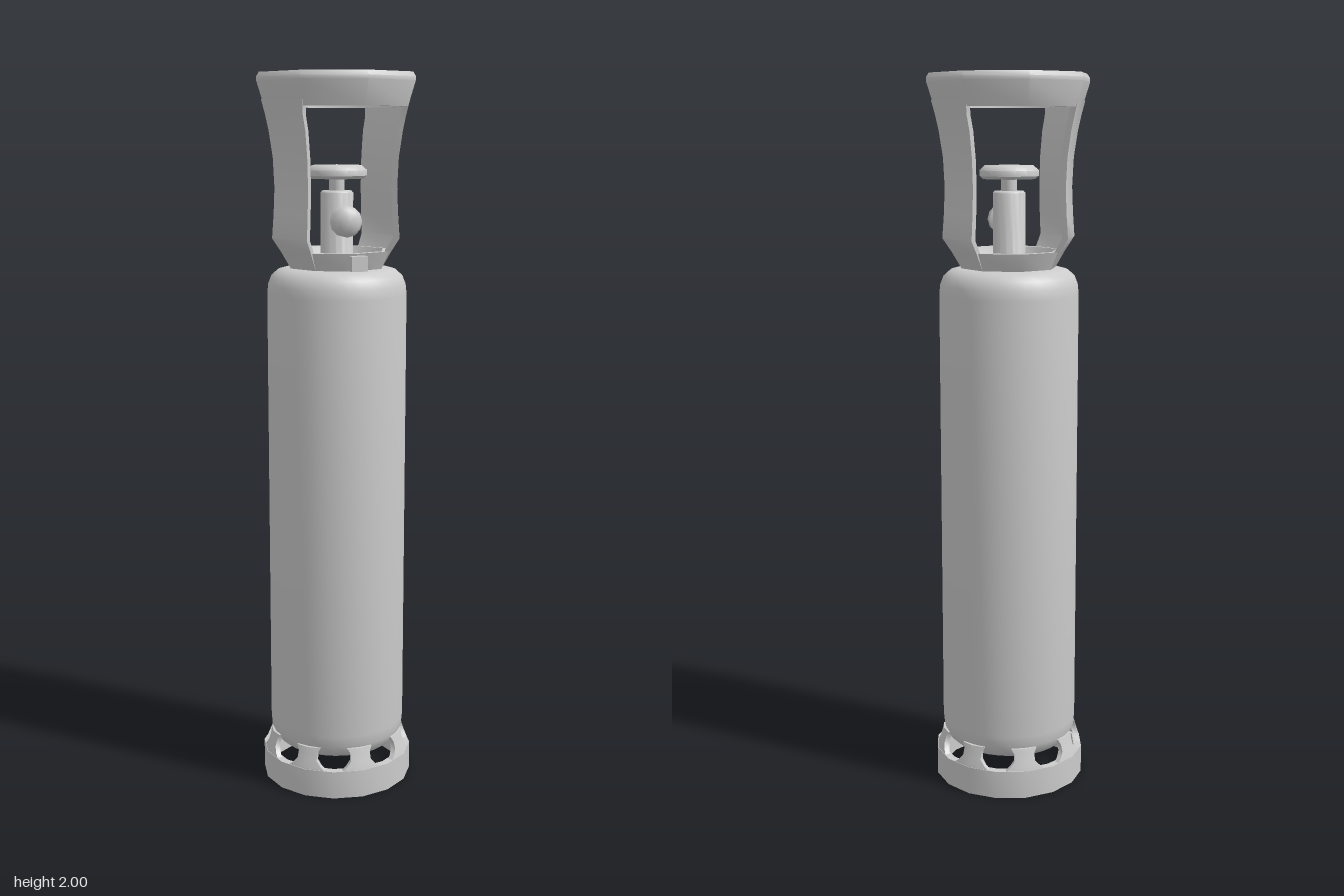
import * as THREE from 'three';
import { toCreasedNormals } from 'three/addons/utils/BufferGeometryUtils.js';

const material = new THREE.MeshStandardMaterial({ color: 0xcccccc });

function part(name, geometry, crease = 0.82) {
  const mesh = new THREE.Mesh(toCreasedNormals(geometry, crease), material);
  mesh.name = name;
  return mesh;
}

// Turned part; the profile runs upwards along its outside
function turned(name, profile, sides, crease) {
  const points = profile.map(([r, y]) => new THREE.Vector2(r, y));
  return part(name, new THREE.LatheGeometry(points, sides), crease);
}

// Thick wall panel centred on +x, cut from a polygonal tube.
// rows: [y, radius, half angle in degrees], from bottom to top
function wallPanel(rows, sides, thickness) {
  const step = Math.PI / sides;
  const position = [], index = [], n = 6;
  for (const [y, r, degrees] of rows) {
    const h = THREE.MathUtils.degToRad(degrees);
    const edge = Math.cos(step) / Math.cos(h - step);
    const ring = (radius, angles) => angles.forEach((a) => {
      const d = radius * (a === 0 ? 1 : edge);
      position.push(d * Math.cos(a), y, d * Math.sin(a));
    });
    ring(r, [-h, 0, h]);
    ring(r - thickness, [h, 0, -h]);
  }
  const quad = (a, b, c, d) => index.push(a, b, c, a, c, d);
  for (let i = 0; i < rows.length - 1; i++) {
    for (let j = 0; j < n; j++) {
      const k = (j + 1) % n;
      quad(i * n + j, (i + 1) * n + j, (i + 1) * n + k, i * n + k);
    }
  }
  const top = (rows.length - 1) * n;
  for (let j = 0; j < 2; j++) {
    quad(j, j + 1, n - 2 - j, n - 1 - j);
    quad(top + n - 1 - j, top + n - 2 - j, top + j + 1, top + j);
  }
  const geometry = new THREE.BufferGeometry();
  geometry.setAttribute('position', new THREE.Float32BufferAttribute(position, 3));
  geometry.setIndex(index);
  return geometry;
}

export function createModel() {
  const model = new THREE.Group();
  model.name = 'gasCylinder';

  // Tank with rounded shoulders
  model.add(turned('tank', [
    [0, 0.1], [0.14, 0.1], [0.163, 0.106], [0.181, 0.122], [0.19, 0.145], [0.193, 0.175],
    [0.193, 1.41], [0.19, 1.437], [0.181, 1.46], [0.163, 1.476], [0.14, 1.482], [0, 1.482],
  ], 32));

  // Foot ring and the tabs that hold it to the tank
  const foot = new THREE.Group();
  foot.name = 'foot';
  foot.add(turned('footRing', [
    [0.193, 0], [0.215, 0], [0.215, 0.08], [0.193, 0.08], [0.193, 0],
  ], 16));
  const tab = wallPanel([
    [0.075, 0.215, 17], [0.09, 0.211, 12], [0.105, 0.206, 8.5], [0.125, 0.2, 8.5], [0.14, 0.196, 11],
  ], 16, 0.015);
  for (let i = 0; i < 8; i++) {
    const mesh = part('footTab', tab);
    mesh.rotation.y = (i * Math.PI) / 4;
    foot.add(mesh);
  }
  model.add(foot);

  // Guard: neck collar, two side walls and the closed cap
  const guard = new THREE.Group();
  guard.name = 'guard';
  guard.add(turned('collar', [
    [0.11, 1.475], [0.13, 1.475], [0.155, 1.53], [0.135, 1.53], [0.11, 1.475],
  ], 8));
  const wall = wallPanel([
    [1.48, 0.132, 45], [1.53, 0.162, 45], [1.565, 0.186, 45], [1.63, 0.181, 45], [1.7, 0.178, 45],
    [1.78, 0.182, 45], [1.85, 0.193, 45], [1.89, 0.202, 44], [1.93, 0.213, 46],
  ], 8, 0.018);
  for (const turn of [0, Math.PI]) {
    const mesh = part('guardWall', wall);
    mesh.rotation.y = turn;
    guard.add(mesh);
  }
  const cap = turned('cap', [
    [0, 1.975], [0.2, 1.975], [0.192, 1.912], [0.212, 1.912], [0.234, 1.978],
    [0.234, 1.988], [0.226, 2], [0, 2],
  ], 8);
  cap.scale.x = 0.965;
  guard.add(cap);
  const latch = part('collarLatch', new THREE.BoxGeometry(0.045, 0.04, 0.05));
  latch.position.set(0, 1.505, 0.155);
  guard.add(latch);
  model.add(guard);

  // Valve with front outlet and hand wheel
  const valve = new THREE.Group();
  valve.name = 'valve';
  valve.add(turned('valveBody', [
    [0, 1.47], [0.055, 1.47], [0.055, 1.5], [0.045, 1.51], [0.045, 1.685], [0.04, 1.69], [0, 1.69],
  ], 16));
  valve.add(turned('valveStem', [[0.022, 1.685], [0.022, 1.73]], 12));
  valve.add(turned('handWheel', [
    [0, 1.722], [0.072, 1.722], [0.082, 1.73], [0.082, 1.745], [0.068, 1.758], [0, 1.76],
  ], 16));
  const outlet = turned('outlet', [
    [0, 0], [0.03, 0], [0.03, 0.055], [0.042, 0.06], [0.042, 0.085], [0.03, 0.1], [0, 0.105],
  ], 12);
  outlet.rotation.x = Math.PI / 2;
  outlet.position.y = 1.61;
  valve.add(outlet);
  model.add(valve);

  return model;
}
